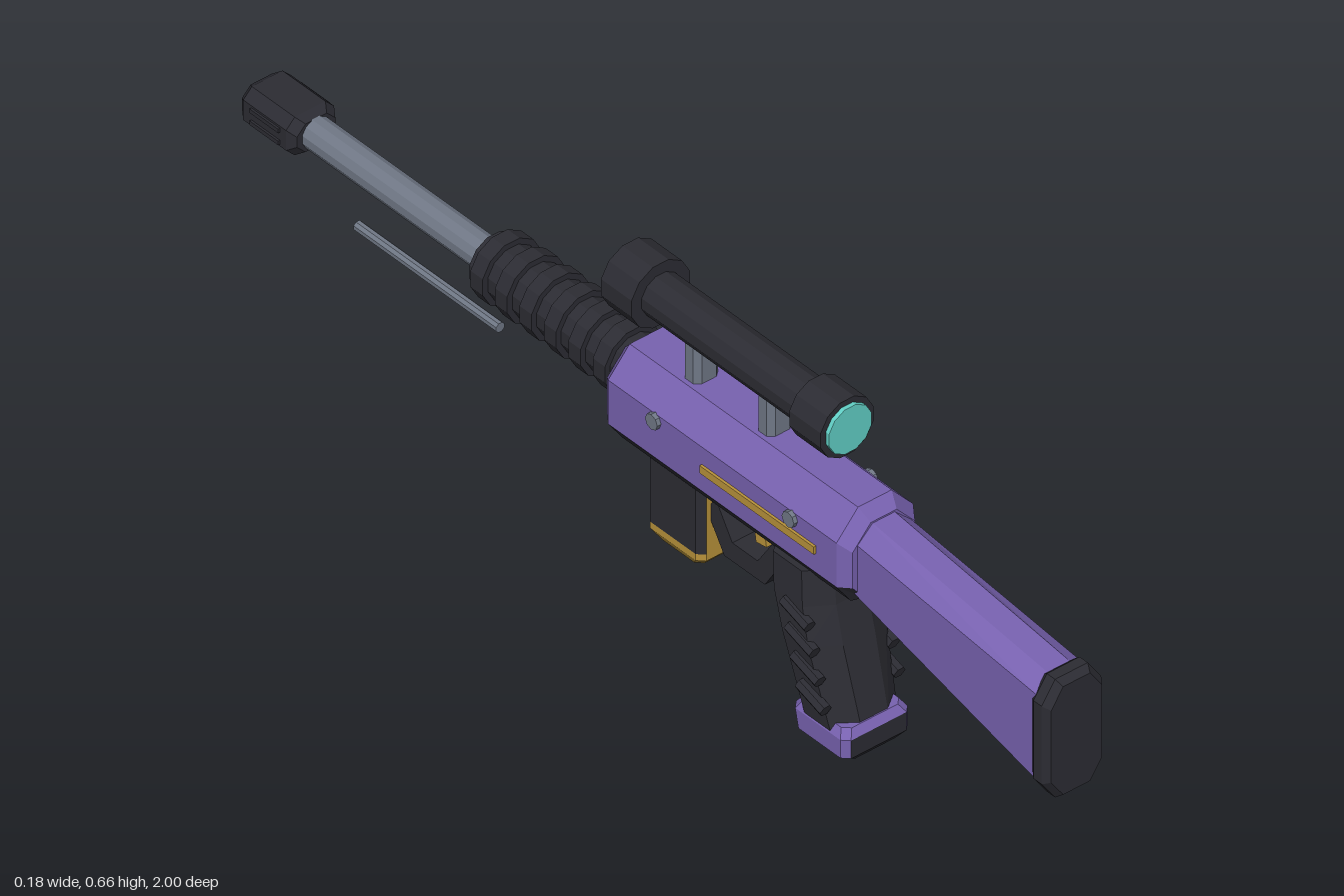
import * as THREE from 'three';

const mat = (name, color) => Object.assign(new THREE.MeshStandardMaterial({ color }), { name });

export function createModel() {
  const purple = mat('purple body', 0x7862b0);
  const black = mat('charcoal', 0x2c2c33);
  const gray = mat('steel gray', 0x707886);
  const gold = mat('gold', 0xb8923a);
  const teal = mat('teal glass', 0x62d0c6);
  const model = new THREE.Group();

  // Adds a mesh with faceted normals
  function add(name, geometry, material, x = 0, y = 0, z = 0) {
    const g = geometry.index ? geometry.toNonIndexed() : geometry;
    g.computeVertexNormals();
    const mesh = new THREE.Mesh(g, material);
    mesh.name = name;
    mesh.position.set(x, y, z);
    model.add(mesh);
    return mesh;
  }

  // Eight-cornered ring: half width, bottom, top, corner cuts at bottom and top
  function ring(z, hw, yb, yt, cx, cy, tx = cx, ty = cy) {
    const right = [[hw - cx, yb], [hw, yb + cy], [hw, yt - ty], [hw - tx, yt]];
    const left = right.map(([x, y]) => [-x, y]).reverse();
    return [...right, ...left].map(([x, y]) => [x, y, z]);
  }

  // Joins rings running toward +z; paint(ring, side) picks the material index
  function loft(rings, paint = () => 0) {
    const buckets = [[], []];
    const n = rings[0].length, last = rings.length - 1;
    const tri = (m, ...p) => p.forEach((v) => buckets[m].push(...v));
    for (let i = 0; i < last; i++) {
      for (let j = 0; j < n; j++) {
        const k = (j + 1) % n, m = paint(i, j);
        const a = rings[i][j], b = rings[i][k], c = rings[i + 1][k], d = rings[i + 1][j];
        tri(m, a, b, c);
        tri(m, a, c, d);
      }
    }
    for (let j = 1; j < n - 1; j++) {
      tri(paint(-1, j), rings[0][0], rings[0][j + 1], rings[0][j]);
      tri(paint(last, j), rings[last][0], rings[last][j], rings[last][j + 1]);
    }
    const g = new THREE.BufferGeometry();
    g.setAttribute('position', new THREE.Float32BufferAttribute(buckets.flat(), 3));
    g.addGroup(0, buckets[0].length / 3, 0);
    g.addGroup(buckets[0].length / 3, buckets[1].length / 3, 1);
    return g;
  }

  // Upright loft: ring height becomes y, and its y range is given as rear and front z
  const upright = (y, hw, rear, front, cx, cy) => ring(y, hw, -rear, -front, cx, cy);
  const loftUp = (rings, paint) => loft(rings, paint).rotateX(-Math.PI / 2);

  // Round bar along z, flat side up
  const bar = (r, length, sides = 12) =>
    new THREE.CylinderGeometry(r, r, length, sides).rotateY(Math.PI / sides).rotateX(Math.PI / 2);
  const rod = (name, r, z0, z1, material, x, y, sides) =>
    add(name, bar(r, Math.abs(z1 - z0), sides), material, x, y, (z0 + z1) / 2);

  const underside = (i, j) => (j === 0 || j === 6 || j === 7 ? 1 : 0);

  // Receiver with dark lower edge
  const recEnd = (z) => ring(z, 0.065, 0.335, 0.478, 0.025, 0.03, 0.038, 0.042);
  const recMid = (z) => ring(z, 0.08, 0.32, 0.5, 0.03, 0.042, 0.045, 0.05);
  add('receiver', loft([recEnd(-0.075), recMid(-0.055), recMid(0.505), recEnd(0.527)],
    (i, j) => (i < 0 || i > 2 ? 0 : underside(i, j))), [purple, black]);

  // Shoulder stock and butt plate
  add('stock', loft([
    ring(0.5, 0.055, 0.33, 0.478, 0.025, 0.02, 0.032, 0.03),
    ring(0.97, 0.055, 0.212, 0.425, 0.025, 0.02, 0.032, 0.022),
  ], underside), [purple, black]);
  add('buttPlate', loft([
    ring(0.957, 0.055, 0.208, 0.428, 0.025, 0.036),
    ring(0.967, 0.062, 0.2, 0.436, 0.028, 0.04),
    ring(0.987, 0.062, 0.2, 0.436, 0.028, 0.04),
    ring(1.0, 0.053, 0.21, 0.426, 0.025, 0.036),
  ]), [black, black]);

  // Ribbed handguard
  const axisY = 0.433;
  rod('handguard', 0.052, -0.06, -0.43, black, 0, axisY);
  for (let i = 0; i < 6; i++) {
    const z = -0.1 - i * 0.06;
    rod('handguardRib', 0.063, z + 0.015, z - 0.015, black, 0, axisY);
  }

  // Barrel, muzzle and its side vents
  rod('barrel', 0.03, -0.42, -0.88, gray, 0, axisY);
  const muzzleRing = (z, s) => ring(z, 0.05 - s, axisY - 0.038 + s, axisY + 0.038 - s, 0.018, 0.018);
  add('muzzle', loft([muzzleRing(-1, 0.01), muzzleRing(-0.985, 0), muzzleRing(-0.88, 0),
    muzzleRing(-0.865, 0.01)]), [black, black]);
  for (const side of [-1, 1]) {
    for (const dy of [-0.012, 0.012]) {
      add('muzzleVent', new THREE.BoxGeometry(0.008, 0.008, 0.07), black, side * 0.05, axisY + dy, -0.93);
    }
    // Rods under the barrel
    rod('underBarrelRod', 0.0095, -0.365, -0.715, gray, side * 0.041, 0.355, 8);

    // Side screws and trim strip
    for (const z of [0.395, 0.06]) {
      add('screw', new THREE.CylinderGeometry(0.015, 0.015, 0.018, 8).rotateZ(Math.PI / 2),
        gray, side * 0.079, 0.437, z);
    }
    add('trimStrip', new THREE.BoxGeometry(0.008, 0.015, 0.28), gold, side * 0.081, 0.408, 0.315);

    // Slanted grip ridges
    for (const y of [0.255, 0.21, 0.16, 0.11]) {
      const ridge = add('gripRidge', bar(0.012, 0.065, 6), black,
        side * 0.077, y - 0.004, 0.405 + (0.255 - y) * 0.27);
      ridge.rotation.x = 0.32;
    }
  }

  // Scope with lenses and mounts
  const scopeY = 0.603;
  rod('scopeTube', 0.041, 0.38, -0.06, black, 0, scopeY);
  rod('scopeEyepiece', 0.057, 0.437, 0.36, black, 0, scopeY);
  rod('scopeBell', 0.063, -0.02, -0.095, black, 0, scopeY);
  rod('rearLens', 0.046, 0.43, 0.445, teal, 0, scopeY);
  rod('frontLens', 0.058, -0.09, -0.098, teal, 0, scopeY);
  for (const z of [0.26, 0.08]) {
    add('scopeMount', loftUp([
      upright(0.49, 0.026, z + 0.019, z - 0.019, 0.011, 0.009),
      upright(0.575, 0.026, z + 0.019, z - 0.019, 0.011, 0.009),
    ]), [gray, gray]);
  }

  // Pistol grip
  add('grip', loftUp([
    upright(0.045, 0.068, 0.508, 0.385, 0.04, 0.03),
    upright(0.2, 0.08, 0.466, 0.342, 0.047, 0.03),
    upright(0.27, 0.077, 0.448, 0.318, 0.045, 0.03),
    upright(0.335, 0.072, 0.44, 0.31, 0.042, 0.03),
  ]), [black, black]);

  // Grip cap with dark sole and heel
  add('gripCap', loftUp([
    upright(0, 0.052, 0.505, 0.4, 0.012, 0.012),
    upright(0.014, 0.07, 0.515, 0.388, 0.012, 0.012),
    upright(0.05, 0.07, 0.515, 0.38, 0.012, 0.012),
    upright(0.065, 0.06, 0.505, 0.388, 0.012, 0.012),
  ], (i, j) => (i < 1 || (i === 1 && j === 7) ? 1 : 0)), [purple, black]);

  // Magazine with gold base and gold front and rear faces
  add('magazine', loftUp([
    upright(0.155, 0.035, 0.115, 0.015, 0.012, 0.012),
    upright(0.175, 0.047, 0.133, -0.003, 0.012, 0.012),
    upright(0.188, 0.047, 0.133, -0.003, 0.012, 0.012),
    upright(0.335, 0.047, 0.133, -0.003, 0.012, 0.012),
  ], (i, j) => (i < 2 || j === 3 || j === 7 ? 1 : 0)), [black, gold]);

  // Trigger guard
  const guard = new THREE.Shape([
    [0.335, 0.31], [0.265, 0.2], [0.165, 0.2], [0.12, 0.27],
    [0.145, 0.3], [0.185, 0.237], [0.247, 0.237], [0.295, 0.31],
  ].map(([z, y]) => new THREE.Vector2(z, y)));
  add('triggerGuard', new THREE.ExtrudeGeometry(guard, { depth: 0.05, bevelEnabled: false })
    .translate(0, 0, -0.025).rotateY(-Math.PI / 2), black);

  // Trigger
  const blade = add('trigger', new THREE.BoxGeometry(0.026, 0.05, 0.026), gold, 0, 0.285, 0.238);
  blade.rotation.x = -0.15;
  add('triggerStem', new THREE.BoxGeometry(0.022, 0.03, 0.04), gold, 0, 0.313, 0.24);

  return model;
}
